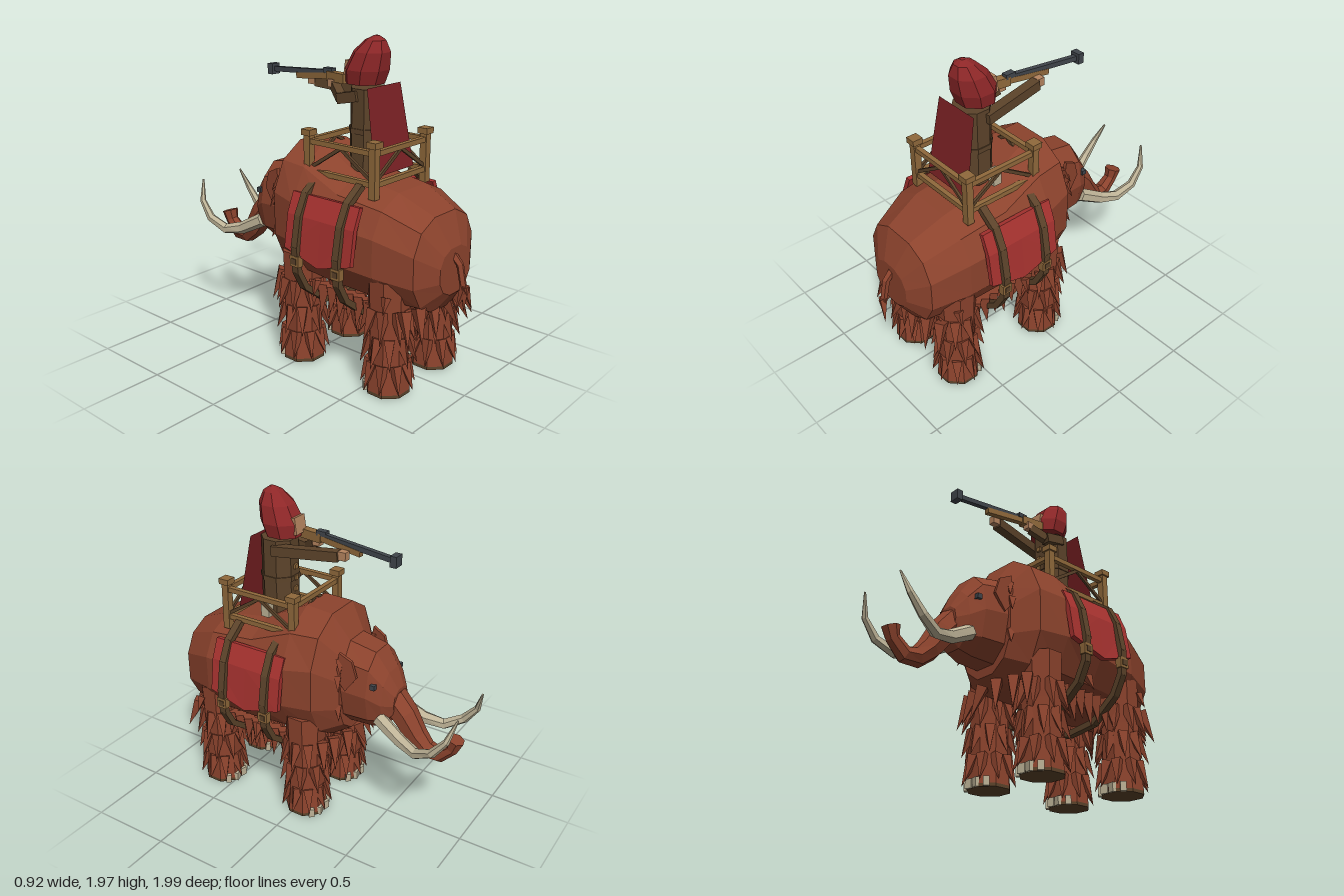
import * as THREE from 'three';

const mat = (name, color, side = THREE.FrontSide) => {
  const m = new THREE.MeshStandardMaterial({ color, flatShading: true, side });
  m.name = name;
  return m;
};
const V = (x, y, z) => new THREE.Vector3(x, y, z);

export function createModel() {
  const fur = mat('fur', 0x8c432d, THREE.DoubleSide);
  const leather = mat('dark leather', 0x5c432a);
  const cloth = mat('red cloth', 0xa6322f);
  const hoodRed = mat('hood red', 0x8e2728);
  const capeRed = mat('cape red', 0x7c2124, THREE.DoubleSide);
  const wood = mat('wood', 0x90693b);
  const ivory = mat('ivory', 0xbdb296);
  const metal = mat('gunmetal', 0x40454b);
  const skin = mat('skin', 0xb5845f);

  const root = new THREE.Group();
  root.name = 'mammothWithRider';
  const add = (name, geo, material, parent = root) => {
    const m = new THREE.Mesh(geo, material);
    m.name = name;
    parent.add(m);
    return m;
  };
  const group = (name) => {
    const g = new THREE.Group();
    g.name = name;
    root.add(g);
    return g;
  };
  const box = (name, material, p, s, parent) => {
    const m = add(name, new THREE.BoxGeometry(...s), material, parent);
    m.position.set(...p);
    return m;
  };
  // Box stretched from a to b
  const beam = (name, material, a, b, w, h, parent) => {
    const A = V(...a), B = V(...b);
    const m = add(name, new THREE.BoxGeometry(w, h, A.distanceTo(B)), material, parent);
    m.position.copy(A).add(B).multiplyScalar(0.5);
    m.lookAt(B);
    return m;
  };
  // Closed skin over rings of equal point count, wound outwards
  const loft = (rings) => {
    const n = rings[0].length, tris = [];
    for (let r = 0; r + 1 < rings.length; r++) {
      for (let i = 0; i < n; i++) {
        const j = (i + 1) % n, a = rings[r], b = rings[r + 1];
        tris.push([a[i], a[j], b[j]], [a[i], b[j], b[i]]);
      }
    }
    const last = rings[rings.length - 1];
    for (let i = 1; i + 1 < n; i++) {
      tris.push([rings[0][0], rings[0][i + 1], rings[0][i]], [last[0], last[i], last[i + 1]]);
    }
    const vol = tris.reduce((s, [a, b, c]) => s + a.dot(b.clone().cross(c)), 0);
    const pts = tris.flatMap(([a, b, c]) => (vol < 0 ? [a, c, b] : [a, b, c]));
    const g = new THREE.BufferGeometry().setFromPoints(pts);
    g.computeVertexNormals();
    return g;
  };
  // Upright oval section at z; the upper half may be squarer than the lower
  const oval = ([z, y0, y1, w, pow = 0.85], n) => Array.from({ length: n }, (_, i) => {
    const a = (i + 0.5) / n * Math.PI * 2, s = Math.sin(a), c = Math.cos(a), p = c > 0 ? pow : 0.9;
    return V(w * Math.sign(s) * Math.abs(s) ** p, (y0 + y1) / 2 + (y1 - y0) / 2 * Math.sign(c) * Math.abs(c) ** p, z);
  });
  // Tapered limb along points [x, y, z, radius]
  const limb = (pts, n) => loft(pts.map(([x, y, z, r], k) => {
    const a = pts[Math.max(k - 1, 0)], b = pts[Math.min(k + 1, pts.length - 1)];
    const t = V(b[0] - a[0], b[1] - a[1], b[2] - a[2]).normalize();
    const u = V(1, 0, 0).addScaledVector(t, -t.x).normalize(), v = t.clone().cross(u);
    return Array.from({ length: n }, (_, i) => {
      const q = (i + 0.5) / n * Math.PI * 2;
      return V(x, y, z).addScaledVector(u, r * Math.cos(q)).addScaledVector(v, r * Math.sin(q));
    });
  }));
  // Pointed lock of hair
  const tuft = (p, dir, len, w, parent) => {
    const m = add('furTuft', new THREE.ConeGeometry(w, len, 4).translate(0, len / 2, 0), fur, parent);
    m.position.set(...p);
    m.quaternion.setFromUnitVectors(V(0, 1, 0), V(...dir).normalize());
  };

  // Body and head
  add('body', loft([
    [0.9, 0.6, 0.88, 0.15], [0.82, 0.48, 1.06, 0.29, 0.8], [0.6, 0.48, 1.16, 0.37, 0.78], [0.3, 0.49, 1.21, 0.4, 0.85],
    [0.03, 0.49, 1.35, 0.392, 1], [-0.15, 0.5, 1.34, 0.35], [-0.265, 0.57, 1.16, 0.22],
  ].map((s) => oval(s, 12))), fur);
  add('head', loft([
    [-0.22, 0.62, 1.19, 0.205], [-0.42, 0.63, 1.15, 0.185], [-0.5, 0.66, 1.03, 0.145], [-0.555, 0.74, 0.92, 0.088],
  ].map((s) => oval(s, 10))), fur);
  add('trunk', limb([[0, 0.84, -0.5, 0.09], [0, 0.75, -0.585, 0.085], [0, 0.63, -0.67, 0.07], [0, 0.56, -0.745, 0.058],
    [0, 0.555, -0.825, 0.051], [0, 0.625, -0.9, 0.042], [0, 0.69, -0.92, 0.053]], 7), fur);
  add('tail', limb([[0, 0.84, 0.87, 0.025], [0, 0.78, 0.93, 0.022], [0, 0.62, 0.965, 0.02]], 5), fur);
  for (const d of [-0.3, 0, 0.3]) tuft([0, 0.66, 0.965], [d, -1, d * 0.6], 0.15, 0.028);

  for (const s of [-1, 1]) {
    add('tusk', limb([[s * 0.12, 0.75, -0.48, 0.045], [s * 0.15, 0.665, -0.64, 0.04], [s * 0.185, 0.64, -0.76, 0.034],
      [s * 0.215, 0.7, -0.87, 0.028], [s * 0.21, 0.8, -0.95, 0.02], [s * 0.165, 0.93, -0.99, 0.006]], 6), ivory);
    box('eye', metal, [s * 0.158, 0.965, -0.455], [0.03, 0.03, 0.03]);
    // Ear flap
    const ear = new THREE.Shape([[0, 0.1], [0.08, 0.06], [0.11, -0.04], [0.04, -0.14], [-0.02, -0.06]].map((p) => new THREE.Vector2(...p)));
    const flap = add('ear', new THREE.ExtrudeGeometry(ear, { depth: 0.02, bevelEnabled: false }), fur);
    flap.position.set(s * 0.2 - 0.01, 1.05, -0.255);
    flap.rotation.y = Math.PI / 2 + s * 0.1;
    // Neck ruff and flank locks
    for (const [x, y, z] of [[0.19, 1.1, -0.25], [0.21, 1.0, -0.25], [0.2, 0.8, -0.25], [0.36, 0.6, 0.2], [0.33, 0.62, 0.68]]) {
      tuft([s * x, y, z], [s * 0.4, -0.9, z < -0.2 ? -0.3 : 0.1], 0.1, 0.03);
    }
    // Belly fringe
    const fringe = group('bellyFringe');
    for (let i = 0; i < 7; i++) {
      tuft([s * 0.26, 0.54, 0.1 + i * 0.067], [s * 0.12, -1, 0], 0.17 + 0.035 * (i % 2), 0.05, fringe);
    }
    for (const [x, z] of [[0.27, 0.76], [0.18, 0.79], [0.06, 0.8], [0.25, -0.17], [0.17, -0.2], [0.06, -0.23]]) {
      tuft([s * x, 0.54, z], [s * 0.25, -1, z > 0 ? 0.35 : -0.25], 0.21, 0.045, fringe);
    }
  }

  // Legs with rows of hair, soles and toenails
  for (const x of [-0.22, 0.22]) for (const z of [0.62, -0.035]) {
    const leg = group(z > 0 ? 'hindLeg' : 'foreLeg');
    leg.position.set(x, 0, z);
    add('legColumn', limb([[0, 0.02, 0, 0.131], [0, 0.18, 0, 0.118], [0, 0.42, 0, 0.12], [0, 0.7, 0, 0.13]], 8), fur, leg);
    add('sole', new THREE.CylinderGeometry(0.131, 0.131, 0.02, 8).rotateY(Math.PI / 8).translate(0, 0.01, 0), leather, leg);
    for (let row = 0; row < 3; row++) for (let i = 0; i < 9; i++) {
      const a = (i + row / 2) / 9 * Math.PI * 2, c = Math.cos(a), d = Math.sin(a);
      tuft([c * 0.1, 0.19 + row * 0.165, d * 0.1], [c * 0.38, -1, d * 0.38], 0.17 + row * 0.012, 0.042, leg);
    }
    for (const a of [-0.75, -0.25, 0.25, 0.75]) {
      box('toenail', ivory, [Math.sin(a) * 0.12, 0.028, -Math.cos(a) * 0.12], [0.045, 0.055, 0.035], leg).rotation.y = a;
    }
  }

  // Side blankets, draped in two folds
  for (const s of [-1, 1]) {
    const outer = [[0.355, 1.1], [0.405, 0.98], [0.435, 0.78]];
    const section = (z, drop) => {
      const p = outer.map(([x, y], i) => [x, i === 2 ? y - drop : y]);
      return [...p, ...[...p].reverse().map(([x, y]) => [x - 0.03, y - 0.005])].map(([x, y]) => V(s * x, y, z));
    };
    add('blanket', loft([section(0.51, 0), section(0.27, 0.07), section(0.02, 0)]), cloth);
  }

  // Girth straps and buckles
  for (const z of [0.42, 0.115]) {
    const g = group('girthStrap');
    for (const s of [-1, 1]) {
      const p = [[0.24, 1.18], [0.35, 1.1], [0.408, 0.98], [0.44, 0.8], [0.43, 0.65], [0.37, 0.54], [0.2, 0.41], [0, 0.385]];
      for (let i = 0; i + 1 < p.length; i++) {
        const [a, b] = [p[i], p[i + 1]];
        const m = box('strapLink', leather, [s * (a[0] + b[0]) / 2, (a[1] + b[1]) / 2, z],
          [Math.hypot(b[0] - a[0], b[1] - a[1]) + 0.012, 0.036, 0.045], g);
        m.rotation.z = Math.atan2(b[1] - a[1], s * (b[0] - a[0]));
      }
      box('buckle', wood, [s * 0.437, 0.72, z], [0.04, 0.065, 0.065], g);
      box('buckleCentre', leather, [s * 0.457, 0.72, z], [0.008, 0.035, 0.035], g);
    }
  }

  // Wooden rail frame on the back
  const frame = group('saddleFrame');
  const X = 0.235, Z0 = 0.035, Z1 = 0.51, ZM = (Z0 + Z1) / 2;
  for (const x of [-X, X]) for (const z of [Z0, Z1]) {
    box('post', wood, [x, 1.27, z], [0.044, 0.3, 0.044], frame);
    box('postCap', wood, [x, 1.425, z], [0.066, 0.035, 0.066], frame);
  }
  for (const y of [1.2, 1.375]) {
    for (const x of [-X, X]) beam('sideRail', wood, [x, y, Z0], [x, y, Z1], 0.03, 0.03, frame);
    for (const z of [Z0, Z1]) beam('endRail', wood, [-X, y, z], [X, y, z], 0.03, 0.03, frame);
  }
  // Braces rising to the middle of each upper rail
  for (const s of [-1, 1]) {
    for (const x of [-X, X]) beam('sideBrace', leather, [x, 1.21, s < 0 ? Z0 : Z1], [x, 1.365, ZM], 0.016, 0.02, frame);
    for (const z of [Z0, Z1]) beam('endBrace', leather, [s * X, 1.21, z], [0, 1.365, z], 0.016, 0.02, frame);
  }

  // Rider: coat, belt, cape and hood
  const coat = add('riderCoat', new THREE.CylinderGeometry(0.112, 0.115, 0.47, 8).rotateY(Math.PI / 8), leather);
  coat.position.set(0, 1.445, 0.285);
  const belt = add('riderBelt', new THREE.CylinderGeometry(0.12, 0.12, 0.03, 8).rotateY(Math.PI / 8), leather);
  belt.position.set(0, 1.44, 0.285);
  for (const y of [1.3, 1.37, 1.44, 1.51, 1.58]) box('coatButton', wood, [0, y, 0.174], [0.028, 0.028, 0.016]);
  const cape = new THREE.PlaneGeometry(0.3, 0.48);
  const cp = cape.attributes.position;
  for (let i = 0; i < 4; i++) {
    const low = cp.getY(i) < 0;
    cp.setXYZ(i, Math.sign(cp.getX(i)) * (low ? 0.18 : 0.15), low ? 1.22 : 1.7, low ? 0.47 : 0.385);
  }
  cape.computeVertexNormals();
  add('cape', cape, capeRed);
  const hoodRings = [[1.7, 0.25, 0.115], [1.78, 0.265, 0.13], [1.88, 0.298, 0.108], [1.945, 0.322, 0.06], [1.97, 0.33, 0.015]];
  add('hood', loft(hoodRings.map(([y, z, r]) => Array.from({ length: 8 }, (_, i) => {
    const a = (i + 0.5) / 8 * Math.PI * 2;
    return V(r * Math.sin(a), y, z + r * Math.cos(a));
  }))), hoodRed);
  box('face', skin, [0, 1.77, 0.162], [0.1, 0.1, 0.05]).rotation.x = 0.15;
  box('pouch', ivory, [0.17, 1.28, 0.265], [0.05, 0.09, 0.055]);
  const flapTop = add('pouchTop', new THREE.ConeGeometry(0.037, 0.03, 4).rotateY(Math.PI / 4), ivory);
  flapTop.position.set(0.17, 1.34, 0.265);

  // Arms and hands
  beam('leftArm', leather, [0.1, 1.625, 0.265], [0.045, 1.66, -0.15], 0.06, 0.06);
  box('leftHand', skin, [0.038, 1.665, -0.175], [0.045, 0.05, 0.05]);
  beam('rightUpperArm', leather, [-0.09, 1.64, 0.28], [-0.09, 1.61, 0.14], 0.06, 0.06);
  beam('rightForearm', leather, [-0.09, 1.61, 0.15], [-0.04, 1.67, 0.06], 0.05, 0.05);
  box('rightHand', skin, [-0.04, 1.68, 0.045], [0.045, 0.045, 0.045]);

  // Long gun
  const gun = group('longGun');
  beam('stock', wood, [-0.045, 1.715, 0.15], [-0.02, 1.715, 0], 0.05, 0.055, gun);
  beam('foreStock', wood, [-0.02, 1.715, 0.01], [0.005, 1.685, -0.27], 0.035, 0.035, gun);
  beam('barrel', metal, [-0.02, 1.735, 0.03], [0.022, 1.7, -0.48], 0.03, 0.03, gun);
  box('breech', metal, [-0.018, 1.745, 0], [0.04, 0.03, 0.065], gun);
  box('muzzle', metal, [0.022, 1.7, -0.495], [0.065, 0.065, 0.04], gun);
  return root;
}
